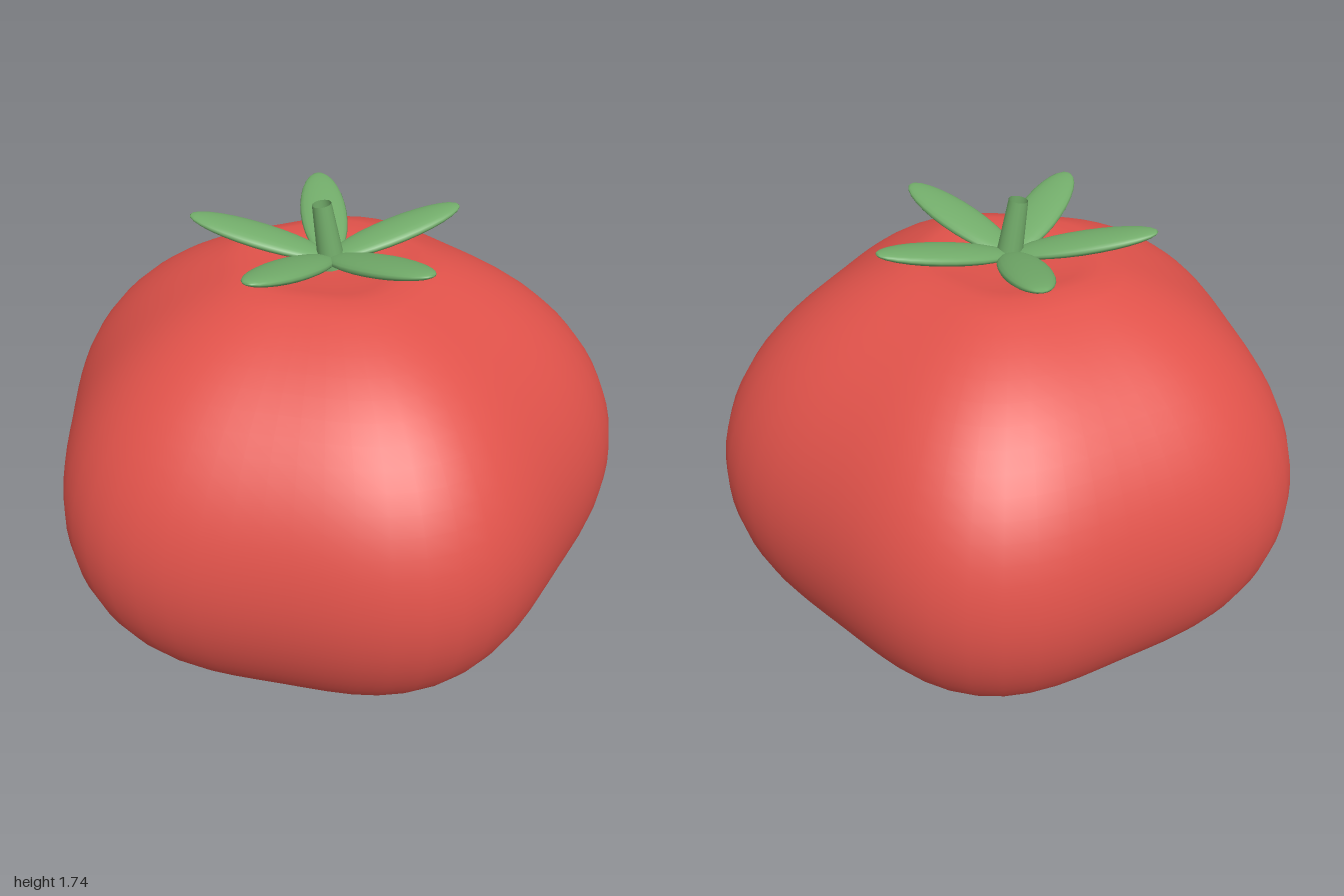
import * as THREE from 'three';
import { mergeVertices } from 'three/addons/utils/BufferGeometryUtils.js';

const CENTER_X = -0.043;

// Squashed sphere with five soft lobes and a shallow hollow at the top
function bodyGeometry() {
  const sphere = new THREE.SphereGeometry(1, 60, 40);
  const p = sphere.attributes.position;
  const rim = Math.sin(Math.PI * 0.1); // where the hollow begins
  const rimY = 0.79 * (1 + Math.cos(Math.PI * 0.1));
  for (let i = 0; i < p.count; i++) {
    const x = p.getX(i), y = p.getY(i), z = p.getZ(i);
    const lobe = 0.982 + 0.042 * Math.cos(5 * Math.atan2(z, x));
    const r = Math.hypot(x, z);
    const inHollow = y > 0 && r < rim;
    const height = inHollow ? rimY - 0.03 * (1 - (r / rim) ** 2) : 0.79 * (1 + y);
    p.setXYZ(i, x * lobe, height, z * lobe);
  }
  sphere.deleteAttribute('uv');
  sphere.deleteAttribute('normal');
  const geometry = mergeVertices(sphere, 1e-5);
  geometry.computeVertexNormals();
  return geometry;
}

export function createModel() {
  const red = new THREE.MeshStandardMaterial({ color: 0xe0524a });
  red.name = 'tomato red';
  const green = new THREE.MeshStandardMaterial({ color: 0x72ac6a, side: THREE.DoubleSide });
  green.name = 'leaf green';

  const model = new THREE.Group();
  model.name = 'tomato';
  model.position.x = CENTER_X;

  const body = new THREE.Mesh(bodyGeometry(), red);
  body.name = 'body';
  model.add(body);

  // Five long leaves, rising outwards from the centre
  const leafGeometry = new THREE.SphereGeometry(1, 20, 14);
  leafGeometry.rotateZ(-Math.PI / 2);
  leafGeometry.scale(0.245, 0.026, 0.08);
  leafGeometry.rotateZ(0.22);
  leafGeometry.translate(0.238, 1.6, 0);
  for (let i = 0; i < 5; i++) {
    const leaf = new THREE.Mesh(leafGeometry, green);
    leaf.name = 'leaf' + (i + 1);
    leaf.rotation.y = Math.PI / 2 + (i * Math.PI * 2) / 5;
    model.add(leaf);
  }

  // Tapered hollow stem, leaning slightly to one side
  const stemGeometry = new THREE.CylinderGeometry(0.032, 0.046, 0.22, 16, 1, true);
  const stem = new THREE.Mesh(stemGeometry, green);
  stem.name = 'stem';
  stem.position.set(-0.008, 1.626, 0);
  stem.rotation.z = 0.15;
  model.add(stem);

  return model;
}
